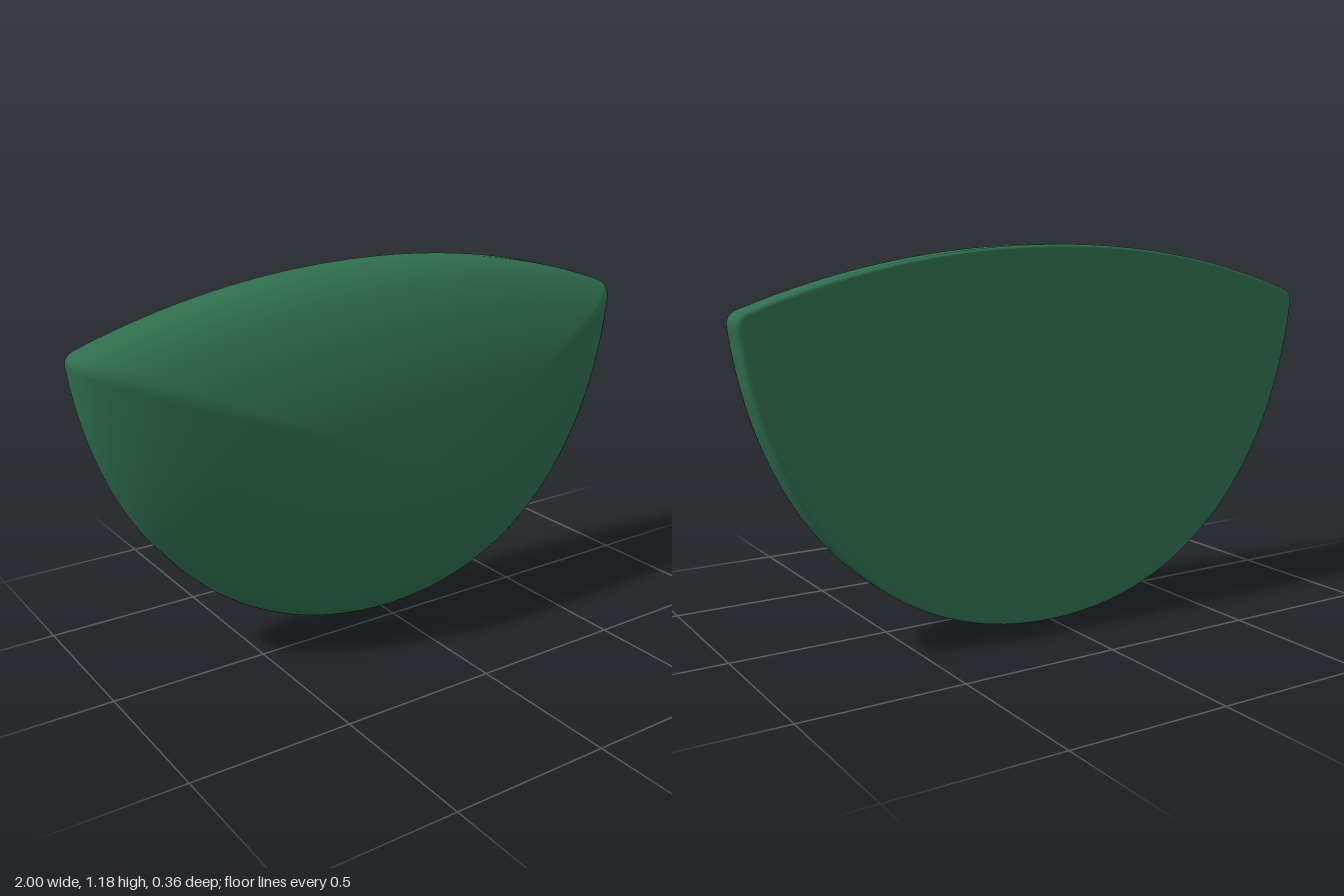
import * as THREE from 'three';

// Closed outline, counter-clockwise seen from the front: deep bowl below, shallow arc above
function outlinePoints() {
  const path = new THREE.Path();
  path.moveTo(0, 0);
  path.bezierCurveTo(0.55, 0, 0.93, 0.4, 0.998, 0.975);
  path.quadraticCurveTo(1.003, 1.005, 0.97, 1.02); // softened corner
  path.quadraticCurveTo(0.515, 1.185, 0, 1.185);
  path.quadraticCurveTo(-0.515, 1.185, -0.97, 1.02);
  path.quadraticCurveTo(-1.003, 1.005, -0.998, 0.975);
  path.bezierCurveTo(-0.93, 0.4, -0.55, 0, 0, 0);
  return path.getPoints(28).slice(0, -1);
}

// Rings of [scale about the centre, z] from the front pole to the flat back
function ringProfile() {
  const rings = [];
  const steps = 36;
  for (let i = 0; i <= steps; i++) {
    const a = (i / steps) * Math.PI / 2;
    rings.push([Math.sin(a), -0.11 + 0.29 * Math.cos(a)]);
  }
  rings.push([1, -0.14], [1, -0.165]);
  // rounded back rim
  for (let i = 1; i <= 4; i++) {
    const a = (i / 4) * Math.PI / 2;
    rings.push([0.985 + 0.015 * Math.cos(a), -0.165 - 0.015 * Math.sin(a)]);
  }
  rings.push([0.98, -0.18], [0, -0.18]);
  return rings;
}

function domeGeometry() {
  const outline = outlinePoints();
  const rings = ringProfile();
  const n = outline.length;
  const centreY = 0.595;
  const positions = [];
  const indices = [];
  rings.forEach(([s, z], j) => {
    outline.forEach((p, i) => {
      positions.push(p.x * s, centreY + (p.y - centreY) * s, z);
      if (j === rings.length - 1) return;
      const a = j * n + i;
      const d = j * n + (i + 1) % n;
      if (j > 0) indices.push(a, a + n, d);
      if (j < rings.length - 2) indices.push(d, a + n, d + n);
    });
  });
  const geometry = new THREE.BufferGeometry();
  geometry.setAttribute('position', new THREE.Float32BufferAttribute(positions, 3));
  geometry.setIndex(indices);
  geometry.computeVertexNormals();
  return geometry;
}

export function createModel() {
  const group = new THREE.Group();
  const material = new THREE.MeshStandardMaterial({ color: 0x2f6e4f });
  const dome = new THREE.Mesh(domeGeometry(), material);
  dome.name = 'domedShell';
  group.add(dome);
  return group;
}
